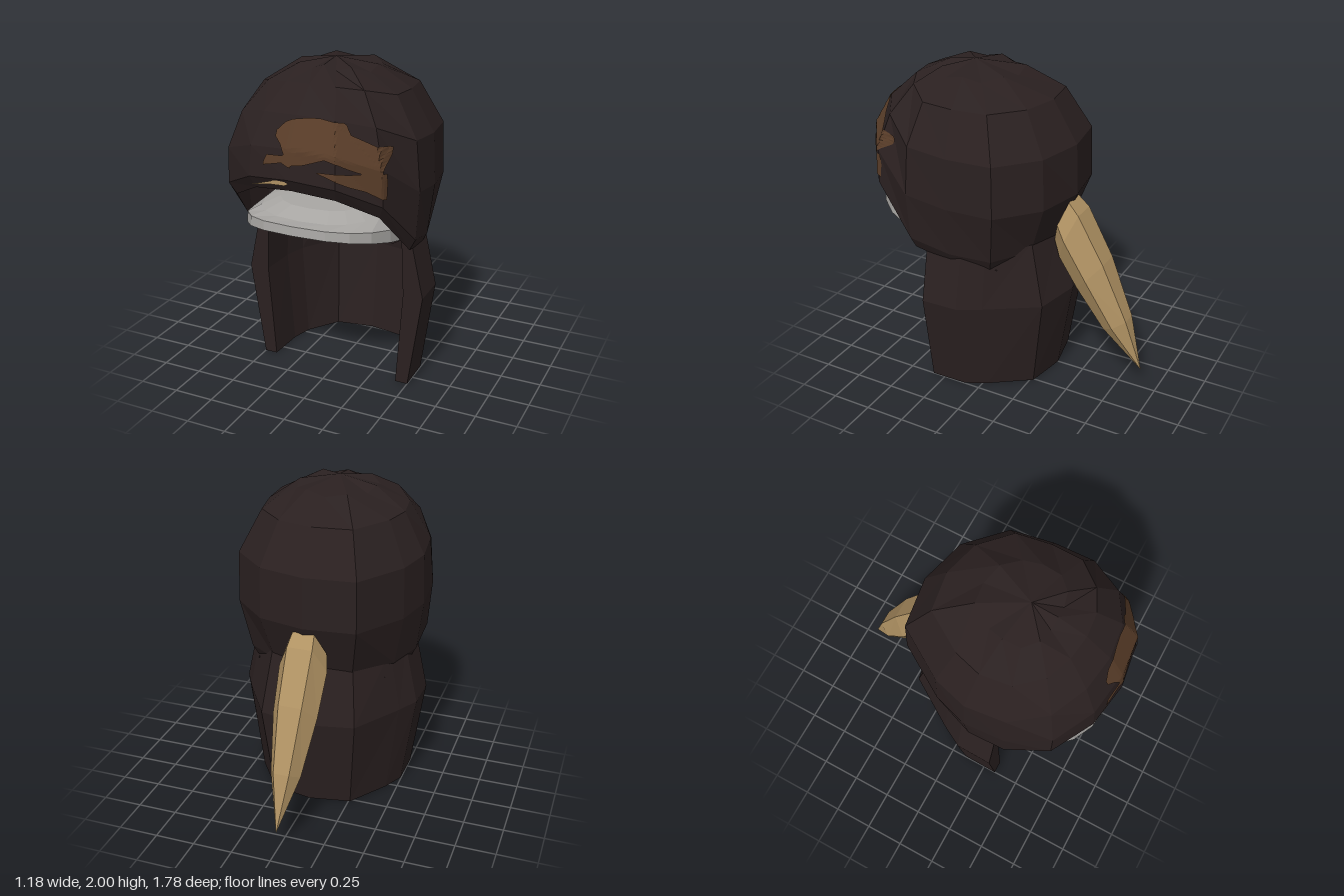
import * as THREE from 'three';

const mat = (name, color) => {
  const m = new THREE.MeshStandardMaterial({ color, flatShading: true, side: THREE.DoubleSide });
  m.name = name;
  return m;
};

// Skin a list of equal-length rings; the winding is turned outward by signed volume
function loft(rings, closed = true) {
  const n = rings[0].length, pos = [];
  const cols = closed ? n : n - 1;
  const tri = (a, b, c) => pos.push(...a, ...b, ...c);
  for (let i = 0; i < rings.length - 1; i++) {
    for (let j = 0; j < cols; j++) {
      const k = (j + 1) % n, p = rings[i], q = rings[i + 1];
      tri(p[j], p[k], q[k]);
      tri(p[j], q[k], q[j]);
    }
  }
  let volume = 0;
  const v = (i) => new THREE.Vector3(pos[i], pos[i + 1], pos[i + 2]);
  for (let i = 0; i < pos.length; i += 9) volume += v(i).dot(v(i + 3).cross(v(i + 6)));
  if (volume < 0) {
    for (let i = 0; i < pos.length; i += 9) {
      for (let c = 0; c < 3; c++) [pos[i + c], pos[i + 3 + c]] = [pos[i + 3 + c], pos[i + c]];
    }
  }
  const g = new THREE.BufferGeometry();
  g.setAttribute('position', new THREE.Float32BufferAttribute(pos, 3));
  g.computeVertexNormals();
  return g;
}

// Piecewise linear lookup in rows sorted by their first entry
function lookup(table, x, col = 1) {
  let i = 0;
  while (i < table.length - 2 && x > table[i + 1][0]) i++;
  const a = table[i], b = table[i + 1];
  return THREE.MathUtils.lerp(a[col], b[col], THREE.MathUtils.clamp((x - a[0]) / (b[0] - a[0]), 0, 1));
}

// Hair cap: plan outline [x, z, lower edge height, inward tuck at the bottom] and radius by height
const OUTLINE = [
  [0, 0.89, 1.44, 0], [0.27, 0.85, 1.41, 0], [0.48, 0.69, 1.29, 0], [0.59, 0.42, 1.01, 0],
  [0.58, 0.15, 0.95, 0.02], [0.53, -0.13, 0.92, 0.06], [0.3, -0.35, 0.93, 0.12], [0, -0.43, 0.94, 0.13],
  [-0.32, -0.38, 0.93, 0.12], [-0.52, -0.06, 0.92, 0.06], [-0.59, 0.16, 0.95, 0.02], [-0.58, 0.42, 1.01, 0],
  [-0.5, 0.69, 1.29, 0], [-0.27, 0.84, 1.41, 0],
];
const RADIUS = [[0.9, 0.94], [1.2, 0.99], [1.35, 1], [1.57, 0.98], [1.83, 0.75], [1.97, 0.4], [2, 0]];
const POLE_Z = 0.27;

function capGeometry() {
  const ring = (f, shrink, drop) => OUTLINE.map(([x, z, edge, tuck], i) => {
    const y = edge + (2 - edge) * f;
    const r = (lookup(RADIUS, y) - tuck * Math.max(0, (1.2 - y) / 0.26)) * shrink;
    // alternate locks sink slightly around the crown
    const sink = f === 0.965 && i % 2 ? 0.025 : 0;
    return [x * r, y - drop - sink, POLE_Z + (z - POLE_Z) * r];
  });
  const steps = [1, 0.965, 0.84, 0.6, 0.3, 0];
  const outer = steps.map((f) => ring(f, 1, 0));
  const inner = steps.slice().reverse().map((f) => ring(f, 0.93, 0.075));
  return loft([...outer, ...inner]);
}

// Thin painted streak laid on the cap: rows of [x, top, bottom]
function streakGeometry(cap, table) {
  const ray = new THREE.Raycaster(), rings = [], rows = 10, cols = 40;
  const x0 = table[0][0], x1 = table[table.length - 1][0];
  for (let i = 0; i <= rows; i++) {
    const ring = [];
    for (let j = 0; j <= cols; j++) {
      const x = THREE.MathUtils.lerp(x0, x1, j / cols);
      const y = THREE.MathUtils.lerp(lookup(table, x, 2), lookup(table, x, 1), i / rows);
      ray.set(new THREE.Vector3(x + 0.0003, y, 3), new THREE.Vector3(0, 0, -1));
      const hit = ray.intersectObject(cap)[0];
      ring.push([x + Math.sign(x) * 0.004, y, (hit ? hit.point.z : 0.65) + 0.008]);
    }
    rings.push(ring);
  }
  return loft(rings, false);
}

// Long curtain of hair, open at the front: a thick U swept upward
function curtainGeometry() {
  const outer = [[0.5, 0.335], [0.495, 0.1], [0.43, -0.03], [0.26, -0.27], [0, -0.32]];
  const inner = [[0.42, 0.335], [0.41, 0.1], [0.375, -0.03], [0.24, -0.22], [0, -0.26]];
  const mirror = (side, sx) => [
    ...side.map(([x, z]) => [x * sx, z]),
    ...side.slice(0, -1).reverse().map(([x, z]) => [-x * sx, z]),
  ];
  const ring = (y, sOut, sIn, sz) => [...mirror(outer, sOut), ...mirror(inner, sIn).reverse()]
    .map(([x, z]) => [x, y, z < 0 ? z * sz : z]);
  // seam ring folding the inner wall onto the outer one, used to cap each end
  const seam = (r) => r.map((p, i) => (i < r.length / 2 ? p : r[r.length - 1 - i]));
  const bottom = ring(0, 1, 1, 1), top = ring(1.0, 1.0, 1.06, 0.93);
  return loft([seam(bottom), bottom, ring(0.6, 1.175, 1.1, 1.29), top, seam(top)]);
}

// Tilted visor plate: squarish front, sloping underside, raised middle
const underside = (z) => 1.1 - 0.26 * (0.85 - z);
function visorGeometry() {
  const ring = (s, height) => Array.from({ length: 20 }, (_, i) => {
    const a = (i / 20) * Math.PI * 2, c = Math.cos(a), n = Math.sin(a);
    const p = c > 0 ? 0.75 : 1;
    const z = 0.275 + 0.575 * s * Math.sign(c) * Math.abs(c) ** p;
    return [0.47 * s * Math.sign(n) * Math.abs(n) ** p, height(z), z];
  });
  return loft([
    ring(0, underside), ring(1, underside), ring(0.99, (z) => 1.155 - 0.2 * (0.85 - z)),
    ring(0.83, () => 1.152), ring(0.63, () => 1.19), ring(0, () => 1.2),
  ]);
}

// Tapering six-sided tail: upper [z, y], lower [z, y], half width
function tailGeometry() {
  const sections = [
    [-0.36, 1.09, -0.36, 1.09, 0], [-0.4, 1.22, -0.31, 0.95, 0.13],
    [-0.47, 1.15, -0.35, 0.84, 0.152], [-0.64, 0.85, -0.47, 0.65, 0.14],
    [-0.8, 0.48, -0.65, 0.39, 0.095], [-0.9, 0.13, -0.9, 0.13, 0],
  ];
  return loft(sections.map(([uz, uy, lz, ly, w]) => {
    const mz = (uz + lz) / 2, my = (uy + ly) / 2, h = w * 0.52;
    return [[w, my, mz], [h, uy, uz], [-h, uy, uz], [-w, my, mz], [-h, ly, lz], [h, ly, lz]];
  }));
}

export function createModel() {
  const group = new THREE.Group();
  const hair = mat('dark hair', 0x2a2020);
  const brown = mat('brown streak', 0x583c28);
  const tan = mat('tan', 0xb09263);
  const grey = mat('grey', 0xa8a6a3);
  const add = (name, geometry, material) => {
    const mesh = new THREE.Mesh(geometry, material);
    mesh.name = name;
    group.add(mesh);
    return mesh;
  };

  const cap = add('hairCap', capGeometry(), hair);
  add('hairCurtain', curtainGeometry(), hair);
  add('visor', visorGeometry(), grey);
  add('tail', tailGeometry(), tan);

  // Dark locks under the visor, mirrored
  for (const s of [1, -1]) {
    const pts = [[0.46, 0.5], [0.42, -0.1], [0, 0.12]].map(([x, z]) => [x * s, underside(z) - 0.008, z]);
    add(s > 0 ? 'leftUnderLock' : 'rightUnderLock', loft([[pts[0], pts[1]], [pts[2], pts[2]]], false), hair);
  }

  // Streaks on the front of the cap
  const streaks = [
    [[-0.1, 1.69, 1.66], [-0.05, 1.74, 1.62], [0, 1.76, 1.52], [0.08, 1.77, 1.53], [0.14, 1.77, 1.55],
      [0.2, 1.76, 1.57], [0.27, 1.75, 1.55], [0.3, 1.69, 1.53], [0.36, 1.66, 1.5], [0.475, 1.6, 1.45]],
    [[-0.16, 1.52, 1.5], [-0.14, 1.56, 1.505], [-0.04, 1.57, 1.53], [0.01, 1.6, 1.51]],
    [[0.16, 1.5, 1.495], [0.26, 1.5, 1.46], [0.33, 1.49, 1.42], [0.4, 1.49, 1.39], [0.487, 1.48, 1.33]],
  ];
  streaks.forEach((table, i) => add('brownStreak' + (i + 1), streakGeometry(cap, table), brown));

  // Tan fleck under the brim
  const outline = [[-0.25, 1.37], [-0.12, 1.393], [-0.03, 1.4], [0, 1.415], [-0.05, 1.428], [-0.11, 1.415]];
  const fleck = add('tanFleck', new THREE.ShapeGeometry(new THREE.Shape(outline.map((p) => new THREE.Vector2(...p)))), tan);
  fleck.position.z = 0.875;
  fleck.rotation.y = -0.12;

  return group;
}
